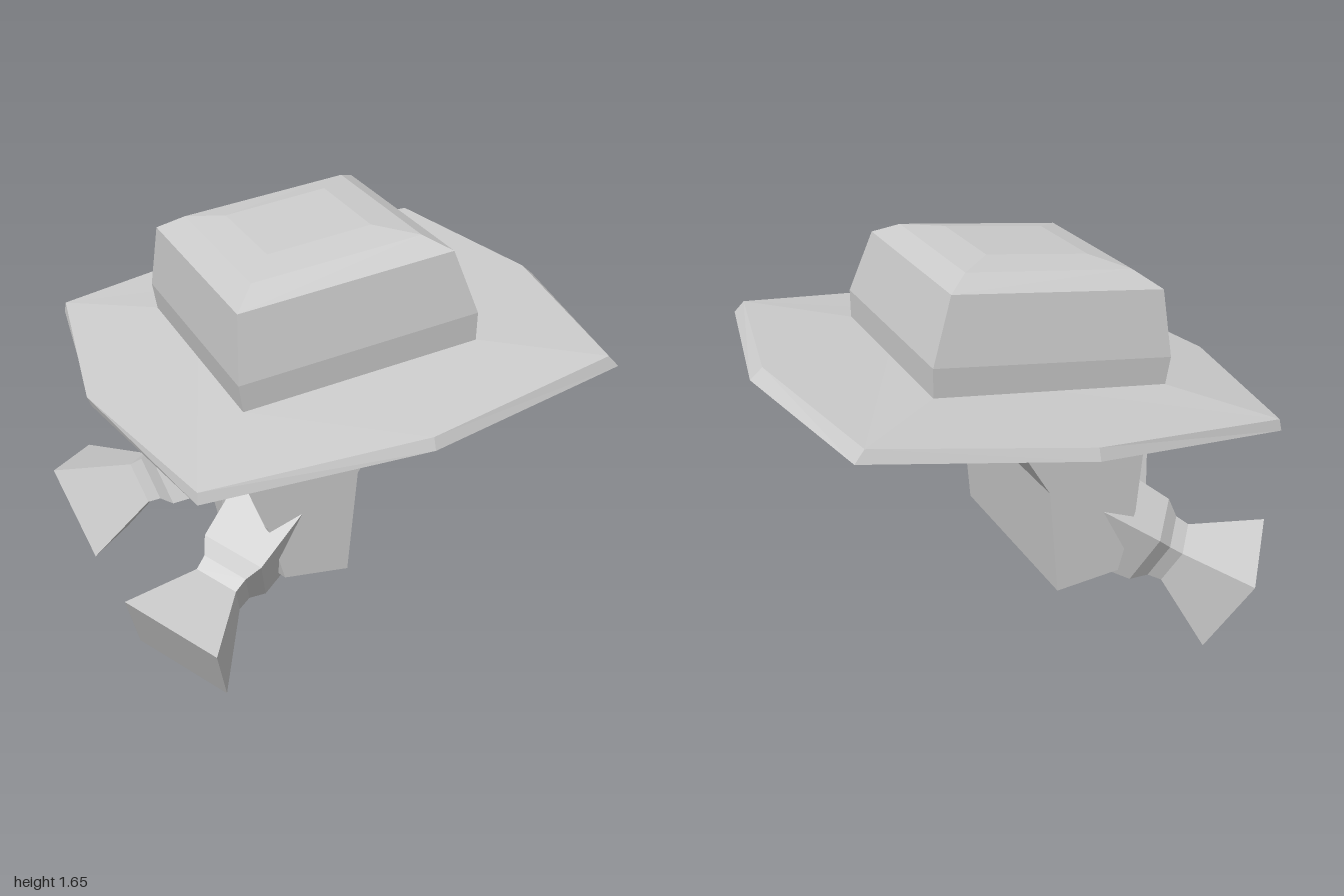
import * as THREE from 'three';

const material = new THREE.MeshStandardMaterial({ color: 0xcccccc, flatShading: true });

// Joins cross-sections (rings of [x, y, z]) into a closed faceted solid facing outwards
function loft(name, rings) {
  const tris = [];
  const n = rings[0].length;
  for (let r = 0; r < rings.length - 1; r++) {
    const a = rings[r], b = rings[r + 1];
    for (let i = 0; i < n; i++) {
      const j = (i + 1) % n;
      tris.push([a[i], a[j], b[j]], [a[i], b[j], b[i]]);
    }
  }
  const last = rings[rings.length - 1];
  for (let i = 1; i < n - 1; i++) {
    tris.push([rings[0][0], rings[0][i + 1], rings[0][i]], [last[0], last[i], last[i + 1]]);
  }
  // Signed volume tells whether the winding has to be turned round
  let volume = 0;
  for (const t of tris) {
    const [p, q, s] = t.map((v) => new THREE.Vector3(...v));
    volume += p.dot(q.cross(s));
  }
  if (volume < 0) tris.forEach((t) => t.reverse());
  const geometry = new THREE.BufferGeometry();
  geometry.setAttribute('position', new THREE.Float32BufferAttribute(tris.flat(2), 3));
  geometry.computeVertexNormals();
  const mesh = new THREE.Mesh(geometry, material);
  mesh.name = name;
  return mesh;
}

// Eight-sided brim ring: mirrored in z, with y rising along x
function brimRing(half, y0, slope) {
  const mirrored = half.slice(1, -1).reverse().map(([x, z]) => [x, -z]);
  return [...half, ...mirrored].map(([x, z]) => [x, y0 + slope * x, z]);
}

// Tilted four-sided crown ring
function crownRing([xBack, yBack, xFront, yFront, z]) {
  return [[xBack, yBack, z], [xFront, yFront, z], [xFront, yFront, -z], [xBack, yBack, -z]];
}

// Square pigtail flaring at both ends, set along a slanted axis
function pigtail(name, side) {
  const end = new THREE.Vector3(-0.83, 0.2325, 0.565);
  const axis = new THREE.Vector3(0.777, 0.457, -0.433);
  const u = new THREE.Vector3(0.58, -0.254, 0.773);
  const v = new THREE.Vector3(0.244, -0.854, -0.463);
  // distance along the axis, half width
  const sections = [[0, 0.206], [0.28, 0.09], [0.34, 0.095], [0.4, 0.13], [0.7, 0.15]];
  const rings = sections.map(([t, h]) =>
    [[-1, -1], [1, -1], [1, 1], [-1, 1]].map(([a, b]) => {
      const p = end.clone().addScaledVector(axis, t).addScaledVector(u, a * h).addScaledVector(v, b * h);
      return [p.x, p.y, p.z * side];
    }));
  return loft(name, rings);
}

export function createModel() {
  const group = new THREE.Group();
  group.name = 'hatWithPigtails';

  // Brim: underside, upper rim, then the slight rise to the crown
  group.add(loft('hatBrim', [
    brimRing([[1, 0], [0.86, 0.83], [0.02, 0.967], [-0.81, 0.83], [-0.935, 0]], 1.114, 0.101),
    brimRing([[0.95, 0], [0.82, 0.82], [0.02, 0.95], [-0.805, 0.82], [-0.95, 0]], 1.16, 0.105),
    brimRing([[0.45, 0], [0.45, 0.48], [-0.03, 0.48], [-0.5, 0.48], [-0.5, 0]], 1.19, 0.1),
  ]));

  // Crown with bevelled top
  group.add(loft('hatCrown', [
    [-0.5, 1.12, 0.45, 1.22, 0.48],
    [-0.52, 1.25, 0.45, 1.35, 0.485],
    [-0.5, 1.51, 0.36, 1.6, 0.44],
    [-0.41, 1.575, 0.27, 1.645, 0.35],
    [-0.29, 1.61, 0.13, 1.657, 0.21],
  ].map(crownRing)));

  // Hair: side profile at both sides, with a back ridge and parted fringe in the middle
  const sideProfile = [
    [-0.455, 1.1, 0.46], [-0.41, 0.6, 0.46], [-0.34, 0.345, 0.46], [-0.07, 0.31, 0.46],
    [-0.03, 0.75, 0.46], [0.1, 0.96, 0.46], [0.45, 1.05, 0.415], [0.45, 1.18, 0.435],
  ];
  const middleProfile = [
    [-0.465, 1.1, 0], [-0.43, 0.6, 0], [-0.42, 0.27, 0], [-0.07, 0.31, 0],
    [-0.03, 0.75, 0], [0.1, 0.96, 0], [0.45, 1.165, 0], [0.45, 1.18, 0],
  ];
  group.add(loft('hair', [
    sideProfile,
    middleProfile,
    sideProfile.map(([x, y, z]) => [x, y, -z]),
  ]));

  group.add(pigtail('leftPigtail', 1), pigtail('rightPigtail', -1));
  return group;
}
